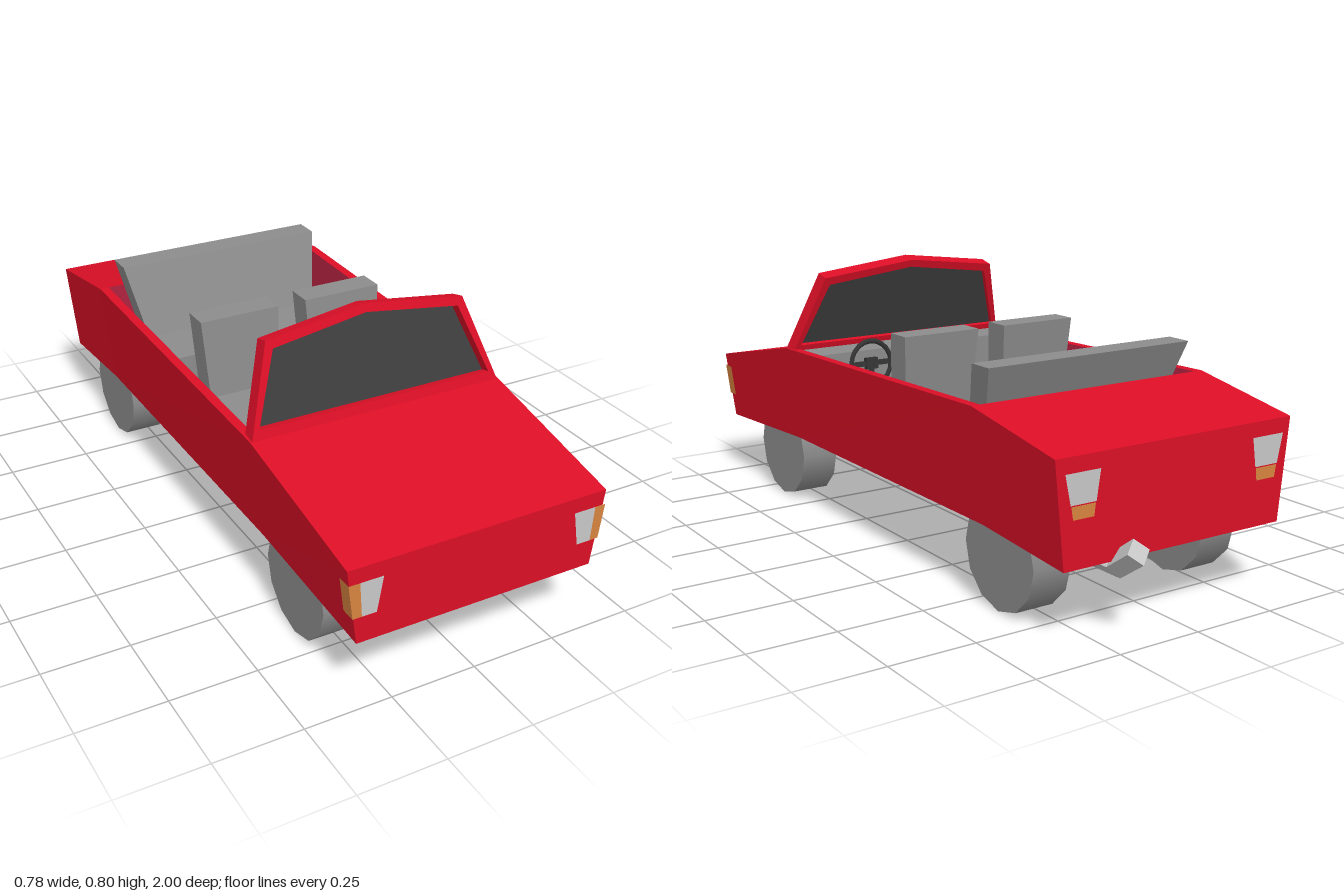
import * as THREE from 'three';

const mat = (name, color, side = THREE.FrontSide) => {
  const m = new THREE.MeshStandardMaterial({ color, side });
  m.name = name;
  return m;
};

// Collects flat quads; both() also adds the copy mirrored across x = 0
class Quads {
  constructor() { this.p = []; }
  add(a, b, c, d) { this.p.push(...a, ...b, ...c, ...a, ...c, ...d); return this; }
  both(a, b, c, d) {
    const m = ([x, y, z]) => [-x, y, z];
    return this.add(a, b, c, d).add(m(d), m(c), m(b), m(a));
  }
  geometry() {
    const g = new THREE.BufferGeometry();
    g.setAttribute('position', new THREE.Float32BufferAttribute(this.p, 3));
    g.computeVertexNormals();
    return g;
  }
}

// Capped loft through four-cornered rings
function loft(rings) {
  const q = new Quads();
  for (let k = 0; k + 1 < rings.length; k++) {
    for (let i = 0; i < 4; i++) {
      const j = (i + 1) % 4;
      q.add(rings[k][i], rings[k][j], rings[k + 1][j], rings[k + 1][i]);
    }
  }
  q.add(...[...rings[0]].reverse());
  q.add(...rings[rings.length - 1]);
  return q.geometry();
}

// Horizontal trapezoid ring: half width at its front and rear edges
const ring = (cx, y, zf, zr, wf, wr = wf) =>
  [[cx - wf, y, zf], [cx + wf, y, zf], [cx + wr, y, zr], [cx - wr, y, zr]];

export function createModel() {
  const car = new THREE.Group();
  car.name = 'convertible';

  const red = mat('body red', 0xdc0f26);
  const maroon = mat('interior maroon', 0xb0223f);
  const grey = mat('seat and tyre grey', 0x8c8c8c);
  const darkGrey = mat('console grey', 0x6a6a6a);
  const silver = mat('lamp silver', 0xc8c8c8);
  const orange = mat('indicator orange', 0xd8843f);
  const glass = mat('dark glass', 0x3e3e3e, THREE.DoubleSide);
  const black = mat('control black', 0x353535);

  const add = (name, geometry, material, parent = car) => {
    const mesh = new THREE.Mesh(geometry, material);
    mesh.name = name;
    parent.add(mesh);
    return mesh;
  };

  // Body stations, front to rear: z, bottom y, top y, top half width
  const S = [[0.993, 0.2, 0.42, 0.385], [0.5, 0.225, 0.52, 0.39], [-0.56, 0.225, 0.545, 0.39], [-0.908, 0.2, 0.485, 0.385]];
  const LOW = 0.355, IN = 0.362;
  const bot = (s, sx = 1) => [sx * LOW, s[1], s[0]];
  const top = (s, sx = 1) => [sx * s[3], s[2], s[0]];
  const rim = (s) => [IN, s[2], s[0]];

  const shell = new Quads();
  for (let i = 0; i < 3; i++) {
    const a = S[i], b = S[i + 1];
    shell.both(bot(a), bot(b), top(b), top(a));
    shell.add(bot(a), bot(a, -1), bot(b, -1), bot(b));
    if (i === 1) shell.both(top(a), top(b), rim(b), rim(a));
    else shell.add(top(a), top(b), top(b, -1), top(a, -1));
  }
  shell.add(bot(S[0], -1), bot(S[0]), top(S[0]), top(S[0], -1));
  shell.add(bot(S[3]), bot(S[3], -1), top(S[3], -1), top(S[3]));
  add('bodyShell', shell.geometry(), red);

  // Open cockpit tub
  const floor = (s, sx = 1) => [sx * 0.335, 0.25, s[0]];
  const rimL = rim(S[1]), rimR = rim(S[2]);
  const flip = ([x, y, z]) => [-x, y, z];
  const tub = new Quads()
    .add(floor(S[1]), floor(S[2]), floor(S[2], -1), floor(S[1], -1))
    .both(floor(S[2]), floor(S[1]), rimL, rimR)
    .add(floor(S[1]), floor(S[1], -1), flip(rimL), rimL)
    .add(floor(S[2], -1), floor(S[2]), rimR, flip(rimR));
  add('cockpitTub', tub.geometry(), maroon);

  // Windscreen, drawn upright and then sheared rearward
  const trace = (path, pts) => {
    pts.forEach(([x, y], i) => (i ? path.lineTo(x, y) : path.moveTo(x, y)));
    path.closePath();
    return path;
  };
  const opening = [[-0.36, 0.025], [0.36, 0.025], [0.287, 0.217], [0, 0.254], [-0.287, 0.217]];
  const frameShape = trace(new THREE.Shape(), [[-0.385, 0], [0.385, 0], [0.305, 0.24], [0, 0.277], [-0.305, 0.24]]);
  frameShape.holes.push(trace(new THREE.Path(), opening));
  const lean = (g) => {
    const p = g.attributes.position;
    for (let i = 0; i < p.count; i++) {
      const y = p.getY(i), z = p.getZ(i);
      p.setXYZ(i, p.getX(i), 0.52 + y + z * 0.25, 0.505 + z - y * 0.325);
    }
    g.computeVertexNormals();
    return g;
  };
  const frame = new THREE.ExtrudeGeometry(frameShape, { depth: 0.045, bevelEnabled: false });
  add('windscreenFrame', lean(frame.translate(0, 0, -0.045)), red);
  const pane = new THREE.ShapeGeometry(trace(new THREE.Shape(), opening));
  add('windscreenGlass', lean(pane.translate(0, 0, -0.03)), glass);

  // Dashboard, console and gear lever
  add('dashboard', loft([ring(0, 0.42, 0.49, 0.345, 0.35), ring(0, 0.517, 0.49, 0.345, 0.36)]), grey);
  add('console', loft([ring(0, 0.25, 0.36, -0.25, 0.035), ring(0, 0.36, 0.36, -0.25, 0.035)]), darkGrey);
  add('gearLever', loft([ring(0, 0.36, 0.235, 0.225, 0.005), ring(0, 0.41, 0.235, 0.225, 0.005)]), black);
  add('gearKnob', new THREE.BoxGeometry(0.03, 0.03, 0.03).translate(0, 0.42, 0.23), black);

  // Steering wheel
  const wheel = new THREE.Group();
  wheel.name = 'steeringWheel';
  wheel.position.set(0.18, 0.478, 0.328);
  wheel.rotation.x = 0.08;
  car.add(wheel);
  add('steeringRim', new THREE.TorusGeometry(0.07, 0.008, 6, 20), black, wheel);
  add('steeringSpoke', new THREE.BoxGeometry(0.135, 0.016, 0.008), black, wheel);
  add('steeringLowerSpoke', new THREE.BoxGeometry(0.016, 0.07, 0.008).translate(0, -0.035, 0), black, wheel);
  add('steeringHub', new THREE.BoxGeometry(0.04, 0.035, 0.018), black, wheel);

  // Front seats
  for (const s of [1, -1]) {
    const side = s > 0 ? 'left' : 'right', x = s * 0.17;
    add(side + 'SeatCushion', loft([ring(x, 0.25, 0.2, -0.04, 0.12, 0.108), ring(x, 0.4, 0.2, -0.04, 0.12, 0.108)]), grey);
    add(side + 'SeatBack', loft([ring(x, 0.3, 0.038, -0.045, 0.105), ring(x, 0.635, 0.003, -0.077, 0.125)]), grey);
  }

  // Rear bench
  add('rearCushion', loft([ring(0, 0.25, -0.22, -0.45, 0.325, 0.285), ring(0, 0.42, -0.22, -0.45, 0.325, 0.285)]), grey);
  add('rearBack', loft([ring(0, 0.4, -0.395, -0.47, 0.29), ring(0, 0.635, -0.482, -0.56, 0.336)]), grey);

  // Lamps as thin faces just proud of the body
  const F = 0.998, R = -0.912;
  add('headlamps', new Quads().both([0.302, 0.28, F], [0.344, 0.28, F], [0.351, 0.38, F], [0.285, 0.38, F]).geometry(), silver);
  const lo = [0.37, 0.28], hi = [0.383, 0.38];
  add('frontIndicators', new Quads()
    .both([0.344, 0.28, F], [...lo, F], [...hi, F], [0.351, 0.38, F])
    .both([...lo, F], [...lo, 0.955], [...hi, 0.955], [...hi, F]).geometry(), orange);
  add('tailLamps', new Quads().both([0.34, 0.365, R], [0.262, 0.365, R], [0.25, 0.445, R], [0.357, 0.445, R]).geometry(), silver);
  add('rearIndicators', new Quads().both([0.332, 0.328, R], [0.268, 0.328, R], [0.264, 0.362, R], [0.338, 0.362, R]).geometry(), orange);

  // Wheels
  for (const [zName, z] of [['front', 0.652], ['rear', -0.612]]) {
    for (const s of [1, -1]) {
      const g = new THREE.CylinderGeometry(0.154, 0.154, 0.117, 12).rotateZ(Math.PI / 2);
      add(zName + (s > 0 ? 'Left' : 'Right') + 'Wheel', g, grey).position.set(s * 0.281, 0.154, z);
    }
  }

  // Diamond-section exhaust with an upturned tip
  const pipe = [[0.185, -0.76, 0], [0.185, -0.9, 0.35], [0.24, -0.978, 0.62]].map(([y, z, tilt]) =>
    [0, 1, 2, 3].map((i) => {
      const u = -0.035 * Math.cos(i * Math.PI / 2), v = 0.035 * Math.sin(i * Math.PI / 2);
      return [0.183 + u, y + v * Math.cos(tilt), z + v * Math.sin(tilt)];
    }));
  add('exhaust', loft(pipe), silver);

  return car;
}
